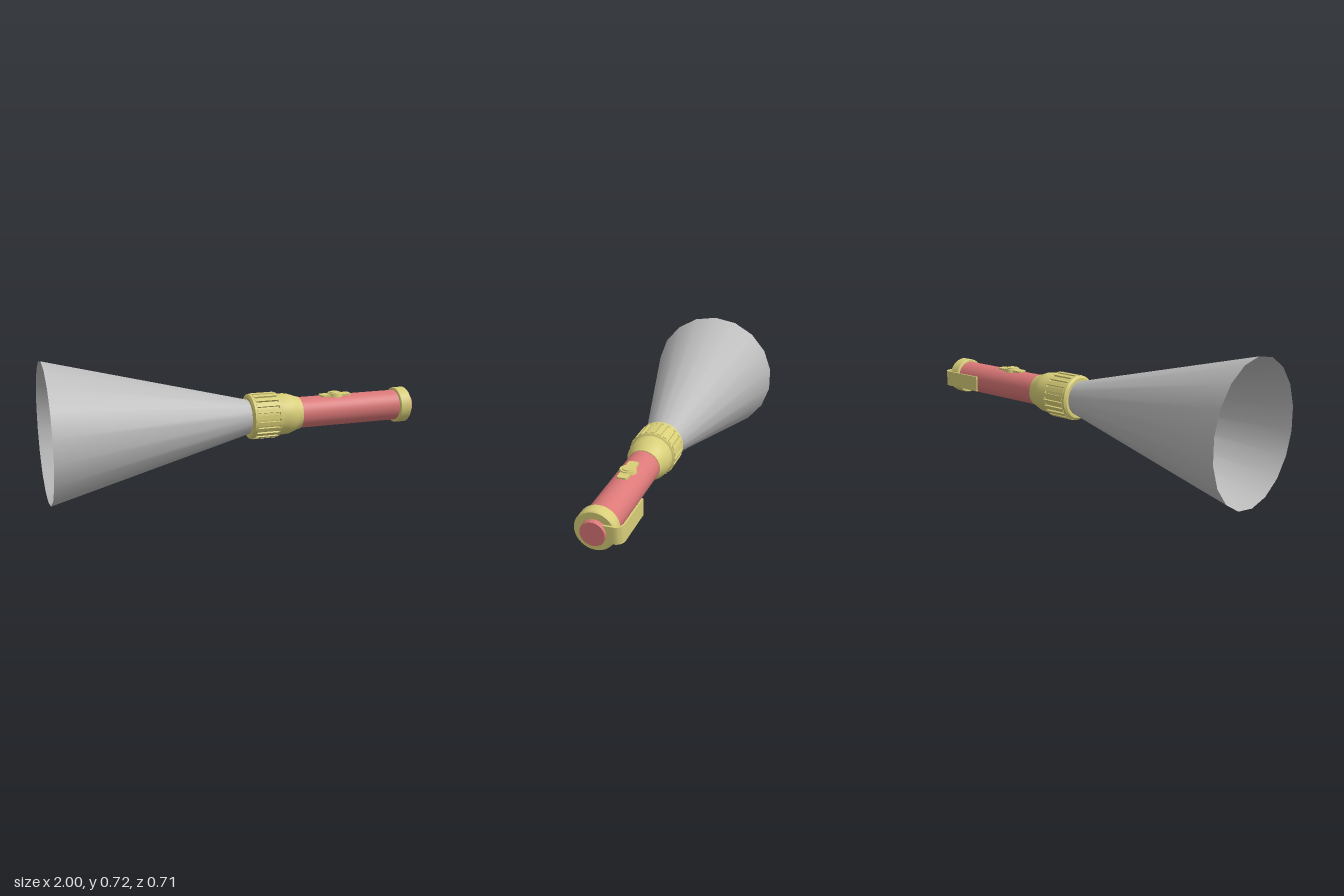
import * as THREE from 'three';
import { toCreasedNormals } from 'three/addons/utils/BufferGeometryUtils.js';

const AXIS_Y = 0.36;

export function createModel() {
  const group = new THREE.Group();
  const brass = new THREE.MeshStandardMaterial({ color: 0xd8ce78 });
  brass.name = 'yellow';
  const red = new THREE.MeshStandardMaterial({ color: 0xdc7878 });
  red.name = 'pinkRed';
  const grey = new THREE.MeshStandardMaterial({ color: 0xbcbcbc, side: THREE.DoubleSide });
  grey.name = 'grey';

  const add = (name, geometry, material, parent = group) => {
    const mesh = new THREE.Mesh(geometry, material);
    mesh.name = name;
    parent.add(mesh);
    return mesh;
  };
  // Turned part along x; profile is [x, radius] pairs running towards +x
  const turn = (name, profile, material, sides = 36) => {
    const points = profile.map(([x, r]) => new THREE.Vector2(r, x));
    let g = new THREE.LatheGeometry(points, sides, -Math.PI / 2);
    g = toCreasedNormals(g, 0.6);
    g.rotateZ(-Math.PI / 2);
    g.translate(0, AXIS_Y, 0);
    return add(name, g, material);
  };

  // Open light cone and the lens at its root
  turn('lightCone', [[-1, 0.358], [0.055, 0.09]], grey, 18);
  turn('lens', [[0.047, 0], [0.047, 0.09], [0.055, 0.09]], grey);

  // Head: grip collar with rims, then a bell narrowing to the barrel
  turn('head', [
    [0.05, 0], [0.05, 0.108], [0.058, 0.119], [0.074, 0.119], [0.078, 0.113],
    [0.192, 0.113], [0.196, 0.119], [0.207, 0.119], [0.213, 0.109],
    [0.25, 0.11], [0.275, 0.107], [0.3, 0.098], [0.32, 0.09], [0.338, 0.086], [0.338, 0.05],
  ], brass);

  // Raised ribs around the grip
  const ribs = new THREE.Group();
  ribs.name = 'gripRibs';
  ribs.position.y = AXIS_Y;
  group.add(ribs);
  const ribCount = 22;
  for (let i = 0; i < ribCount; i++) {
    const a = (i / ribCount) * Math.PI * 2;
    const rib = add('gripRib', new THREE.BoxGeometry(0.13, 0.014, 0.02), brass, ribs);
    rib.position.set(0.135, Math.cos(a) * 0.1145, Math.sin(a) * 0.1145);
    rib.rotation.x = a;
  }

  // Barrel, end cap and tail button
  turn('barrel', [[0.33, 0.083], [0.92, 0.083]], red);
  turn('endCap', [[0.91, 0.08], [0.91, 0.093], [0.914, 0.097], [0.969, 0.097], [0.975, 0.092], [0.975, 0]], brass);
  turn('tailButton', [[0.97, 0.06], [0.996, 0.06], [1, 0.057], [1, 0]], red);

  // Switch plate with clipped corners, wings tapering down at both ends
  const plate = new THREE.Shape([
    [-0.087, -0.018], [-0.078, -0.026], [0.078, -0.026], [0.087, -0.018],
    [0.087, 0.018], [0.078, 0.026], [-0.078, 0.026], [-0.087, 0.018],
  ].map(([x, y]) => new THREE.Vector2(x, y)));
  const plateGeo = new THREE.ExtrudeGeometry(plate, { depth: 0.014, bevelEnabled: false });
  plateGeo.rotateX(-Math.PI / 2);
  add('switchPlate', plateGeo, brass).position.set(0.552, 0.435, 0);
  const collar = new THREE.CylinderGeometry(0.039, 0.043, 0.018, 24);
  add('switchCollar', collar, brass).position.set(0.552, 0.445, 0);
  const knob = new THREE.CylinderGeometry(0.028, 0.031, 0.012, 24);
  add('switchButton', knob, brass).position.set(0.552, 0.453, 0);

  // Pocket clip: bent strip, drawn in the x/z plane and extruded in height
  const clip = new THREE.Shape();
  clip.moveTo(0.71, 0.131);
  clip.lineTo(0.935, 0.131);
  clip.quadraticCurveTo(0.986, 0.131, 0.986, 0.085);
  clip.lineTo(0.986, 0.04);
  clip.lineTo(0.975, 0.04);
  clip.lineTo(0.975, 0.085);
  clip.quadraticCurveTo(0.975, 0.122, 0.935, 0.122);
  clip.lineTo(0.71, 0.122);
  clip.closePath();
  let clipGeo = new THREE.ExtrudeGeometry(clip, { depth: 0.084, bevelEnabled: false, curveSegments: 8 });
  clipGeo = toCreasedNormals(clipGeo, 0.6);
  clipGeo.rotateX(-Math.PI / 2);
  add('pocketClip', clipGeo, brass).position.y = AXIS_Y - 0.042;

  return group;
}
